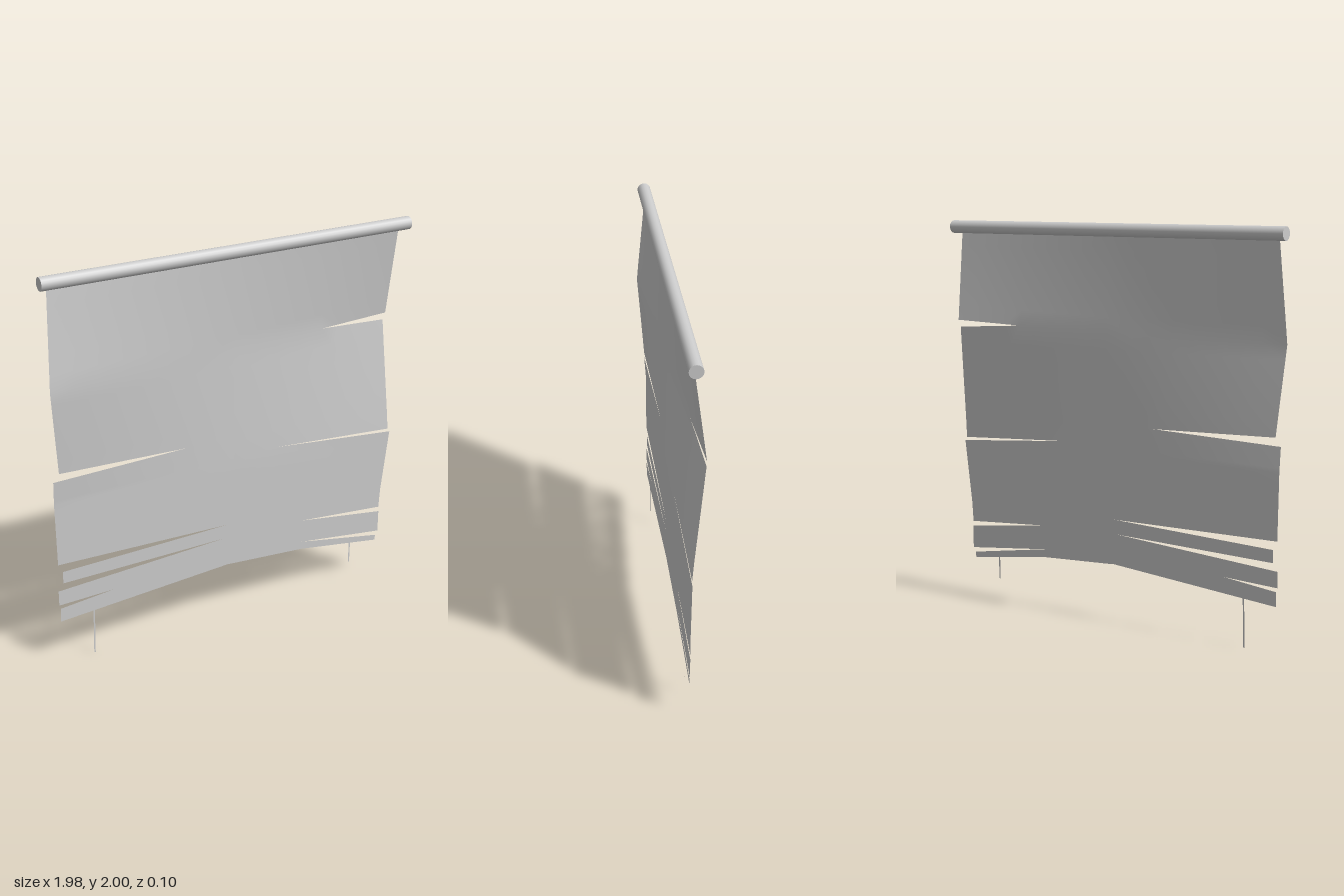
import * as THREE from 'three';
import { mergeVertices } from 'three/addons/utils/BufferGeometryUtils.js';

const Z = 0.009; // plane of rod and cloth

// Each line crosses one half of the cloth: corner above the slit, slit tip,
// corner below the slit, and height at the middle of the cloth.
const line = (up, tip, low, mid) => ({ up, tip, low, mid });
const plain = (outer, tip, mid) => line(outer, tip, outer, mid);

const rightHand = [
  plain([-0.955, 1.945], [-0.48, 1.945], 1.945),
  plain([-0.98, 1.46], [-0.49, 1.46], 1.46),
  line([-0.945, 1.03], [-0.27, 1.008], [-0.975, 0.99], 1.008),
  plain([-0.974, 0.87], [-0.4, 0.87], 0.87),
  line([-0.97, 0.543], [-0.04, 0.527], [-0.947, 0.5], 0.527),
  line([-0.948, 0.437], [-0.06, 0.453], [-0.975, 0.399], 0.453),
  line([-0.975, 0.32], [-0.68, 0.33], [-0.969, 0.3], 0.38),
  plain([-0.97, 0.228], [-0.04, 0.297], 0.294),
];
const leftHand = [
  plain([0.93, 1.945], [0.48, 1.945], 1.945),
  line([0.914, 1.485], [0.52, 1.474], [0.9, 1.45], 1.46),
  line([0.92, 0.854], [0.25, 0.897], [0.932, 0.836], 0.87),
  plain([0.89, 0.505], [0.4, 0.52], 0.527),
  line([0.883, 0.4], [0.4, 0.438], [0.885, 0.373], 0.453),
  line([0.884, 0.255], [0.4, 0.312], [0.87, 0.232], 0.36),
  plain([0.867, 0.203], [0.4, 0.27], 0.294),
];

// The cloth twists gently about its middle, most strongly at mid height
function bulge(x, y) {
  const f = y > 1.465 ? (1.945 - y) / 0.48 : (y - 0.87) / 0.595;
  return Z + Math.max(0, f) * (-0.012 - 0.056 * x);
}

const mix = THREE.MathUtils.lerp;

// Point on a line, from the outer edge (u = 0) over the slit tip to the middle (u = 1)
function along(outer, { tip, mid }, u) {
  const [a, b, t] = u < 0.5 ? [outer, tip, u * 2] : [tip, [0, mid], u * 2 - 1];
  return [mix(a[0], b[0], t), mix(a[1], b[1], t)];
}

function clothGeometry() {
  const pos = [], index = [];
  const NU = 8, NV = 6;
  [rightHand, leftHand].forEach((lines, side) => {
    for (let i = 0; i < lines.length - 1; i++) {
      const base = pos.length / 3;
      for (let v = 0; v <= NV; v++) {
        for (let u = 0; u <= NU; u++) {
          const a = along(lines[i].low, lines[i], u / NU);
          const b = along(lines[i + 1].up, lines[i + 1], u / NU);
          const x = mix(a[0], b[0], v / NV), y = mix(a[1], b[1], v / NV);
          pos.push(x, y, bulge(x, y));
        }
      }
      for (let v = 0; v < NV; v++) {
        for (let u = 0; u < NU; u++) {
          const p = base + v * (NU + 1) + u, q = p + NU + 1;
          if (side === 0) index.push(p, q, p + 1, p + 1, q, q + 1);
          else index.push(p, p + 1, q, p + 1, q + 1, q);
        }
      }
    }
  });
  const g = new THREE.BufferGeometry();
  g.setAttribute('position', new THREE.Float32BufferAttribute(pos, 3));
  g.setIndex(index);
  const merged = mergeVertices(g, 1e-4);
  merged.computeVertexNormals();
  return merged;
}

export function createModel() {
  const group = new THREE.Group();
  const rodGrey = new THREE.MeshStandardMaterial({ color: 0xcccccc });
  rodGrey.name = 'rodGrey';
  const clothGrey = new THREE.MeshStandardMaterial({ color: 0xcccccc, side: THREE.DoubleSide });
  clothGrey.name = 'clothGrey';

  const add = (name, geometry, material) => {
    const mesh = new THREE.Mesh(geometry, material);
    mesh.name = name;
    group.add(mesh);
    return mesh;
  };

  // Hanging rod
  const rod = add('rod', new THREE.CylinderGeometry(0.033, 0.033, 1.976, 16), rodGrey);
  rod.rotation.z = Math.PI / 2;
  rod.position.set(0, 1.967, Z);

  // Torn cloth
  add('cloth', clothGeometry(), clothGrey);

  // Loose threads below the hem: [top x, top y, bottom x, bottom y]
  [[-0.793, 0.245, -0.799, 0], [0.705, 0.23, 0.703, 0.11]].forEach(([x0, y0, x1, y1], i) => {
    const w = 0.004;
    const shape = new THREE.Shape([
      new THREE.Vector2(x0 - w, y0), new THREE.Vector2(x1 - w, y1),
      new THREE.Vector2(x1 + w, y1), new THREE.Vector2(x0 + w, y0),
    ]);
    add(i ? 'leftThread' : 'rightThread', new THREE.ShapeGeometry(shape), clothGrey).position.z = Z;
  });

  return group;
}
